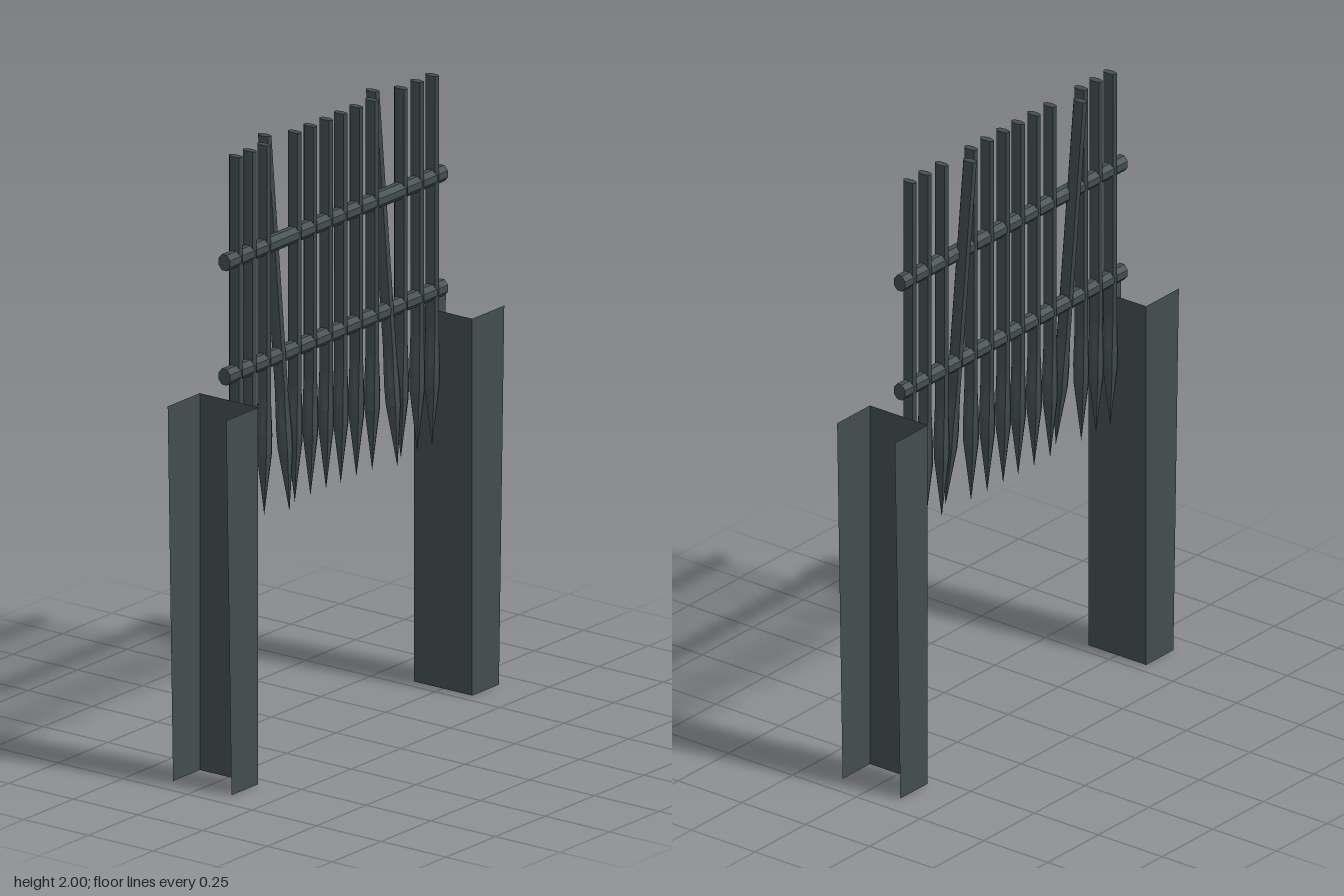
import * as THREE from 'three';

const iron = new THREE.MeshStandardMaterial({ color: 0x434e4e });
iron.name = 'dark iron';
iron.side = THREE.DoubleSide;

// Give a geometry hard facets
function faceted(geometry) {
  const g = geometry.toNonIndexed();
  g.computeVertexNormals();
  return g;
}

// Spear-shaped upright; lean shears it along x
function barGeometry(lean) {
  // y, half width in x, half width in z
  const rows = [
    [0.80, 0, 0], [1.0, 0.027, 0.02], [1.06, 0.028, 0.021],
    [1.18, 0.026, 0.013], [2, 0.026, 0.013], [2, 0, 0],
  ];
  const g = new THREE.LatheGeometry(rows.map(([y]) => new THREE.Vector2(1, y)), 8);
  const p = g.attributes.position;
  for (let i = 0; i < p.count; i++) {
    const [y, rx, rz] = rows[i % rows.length];
    const centre = lean ? 0.021 - 0.08 * (y - 1.02) : -0.004;
    p.setXYZ(i, centre + p.getX(i) * rx, y, p.getZ(i) * rz);
  }
  return faceted(g);
}

// Open sheet with four corners
function sheet(a, b, c, d) {
  const g = new THREE.BufferGeometry();
  g.setAttribute('position', new THREE.Float32BufferAttribute([a, b, c, a, c, d].flat(), 3));
  g.computeVertexNormals();
  return g;
}

export function createModel() {
  const model = new THREE.Group();
  model.name = 'portcullis';
  const add = (name, geometry, parent = model) => {
    const mesh = new THREE.Mesh(geometry, iron);
    mesh.name = name;
    parent.add(mesh);
    return mesh;
  };

  // Uprights, two of them knocked askew
  const straight = barGeometry(false);
  const leaning = barGeometry(true);
  const spots = [0.5, 0.43, 0.357, 0.285, 0.203, 0.124, 0.045,
    -0.029, -0.108, -0.188, -0.26, -0.333, -0.415, -0.49];
  spots.forEach((z, i) => {
    const bent = i === 3 || i === 10;
    add(bent ? 'leaningBar' : 'bar', bent ? leaning : straight).position.z = z;
  });

  // Cross rails
  const rail = faceted(new THREE.CylinderGeometry(0.028, 0.028, 1.1, 8)
    .rotateY(Math.PI / 8).rotateX(Math.PI / 2).scale(0.86, 1, 1));
  for (const y of [1.3, 1.67]) add('crossRail', rail).position.set(-0.003, y, 0.01);

  // Side channels, open outward, flanges narrowing towards the ground
  const w = 0.113, h = 1.22, inner = 0.54;
  for (const s of [1, -1]) {
    const channel = new THREE.Group();
    channel.name = s > 0 ? 'frontChannel' : 'backChannel';
    model.add(channel);
    const z = s * inner;
    add('web', sheet([-w, 0, z], [w, 0, z], [w, h, z], [-w, h, z]), channel);
    for (const x of [w, -w]) {
      add('flange', sheet([x, 0, z], [x, 0, s * 0.675], [x, h, s * 0.702], [x, h, z]), channel);
    }
  }
  return model;
}
